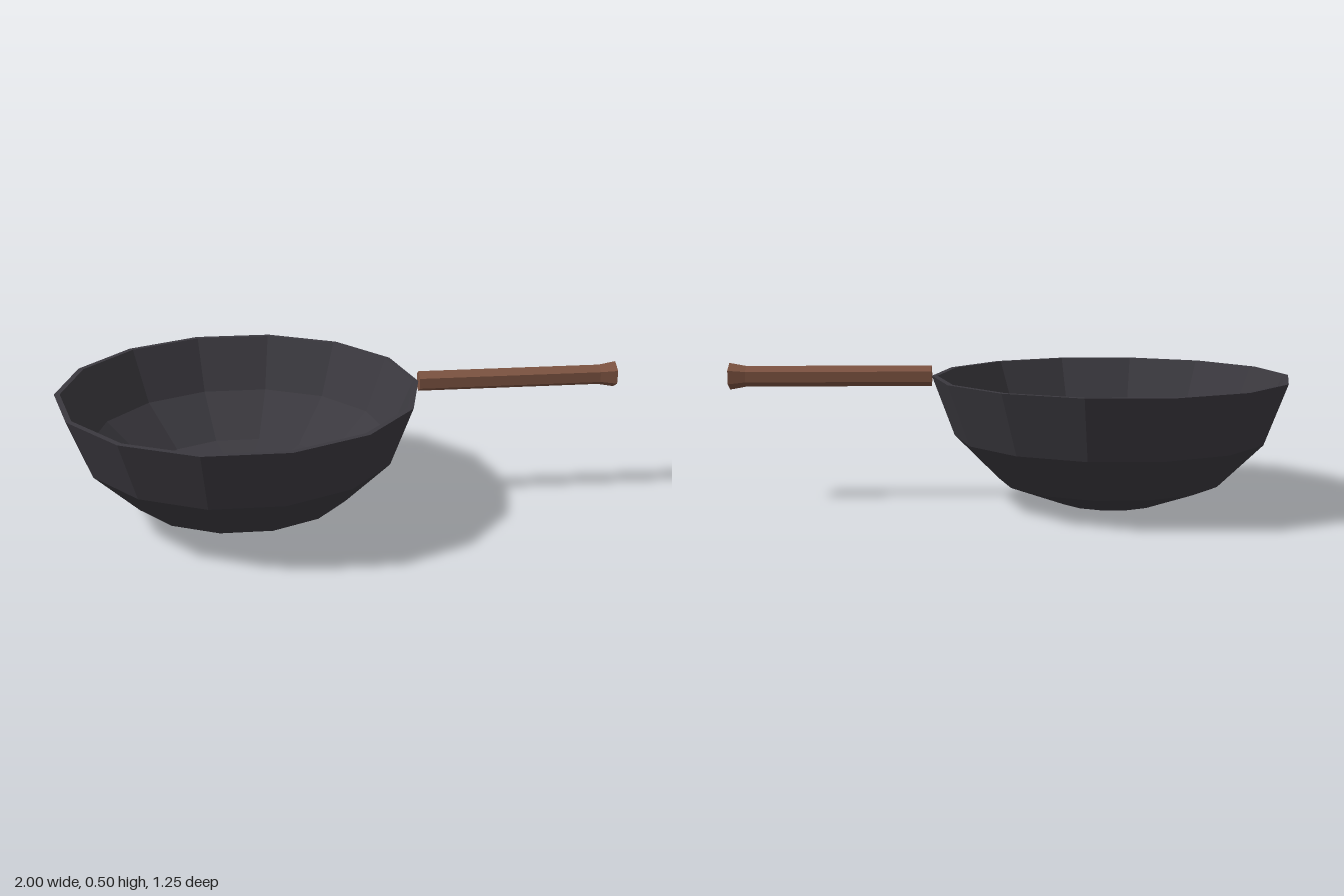
import * as THREE from 'three';

const iron = new THREE.MeshStandardMaterial({ color: 0x3b393f, flatShading: true });
iron.name = 'dark iron';
const wood = new THREE.MeshStandardMaterial({ color: 0x7d5341, flatShading: true });
wood.name = 'brown wood';

// Faceted solid of revolution with a corner on the +x axis
function turned(name, profile, sides, material) {
  const points = profile.map(([r, y]) => new THREE.Vector2(r, y));
  const mesh = new THREE.Mesh(new THREE.LatheGeometry(points, sides, Math.PI / 2), material);
  mesh.name = name;
  return mesh;
}

export function createModel() {
  const model = new THREE.Group();
  model.name = 'pan';

  // Bowl: up the outside, over the rim and down the inside
  const bowl = turned('bowl', [
    [0, 0], [0.187, 0], [0.4, 0.08], [0.56, 0.24], [0.64, 0.455],
    [0.62, 0.455], [0.537, 0.26], [0.374, 0.113], [0, 0.065],
  ], 14, iron);
  bowl.position.x = -0.36;
  model.add(bowl);

  // Hexagonal handle with a flared end, laid along +x
  const handle = turned('handle', [
    [0, 0], [0.037, 0], [0.037, 0.66], [0.048, 0.72], [0, 0.72],
  ], 6, wood);
  handle.rotation.z = -Math.PI / 2;
  handle.position.set(0.28, 0.455, 0);
  model.add(handle);

  return model;
}
